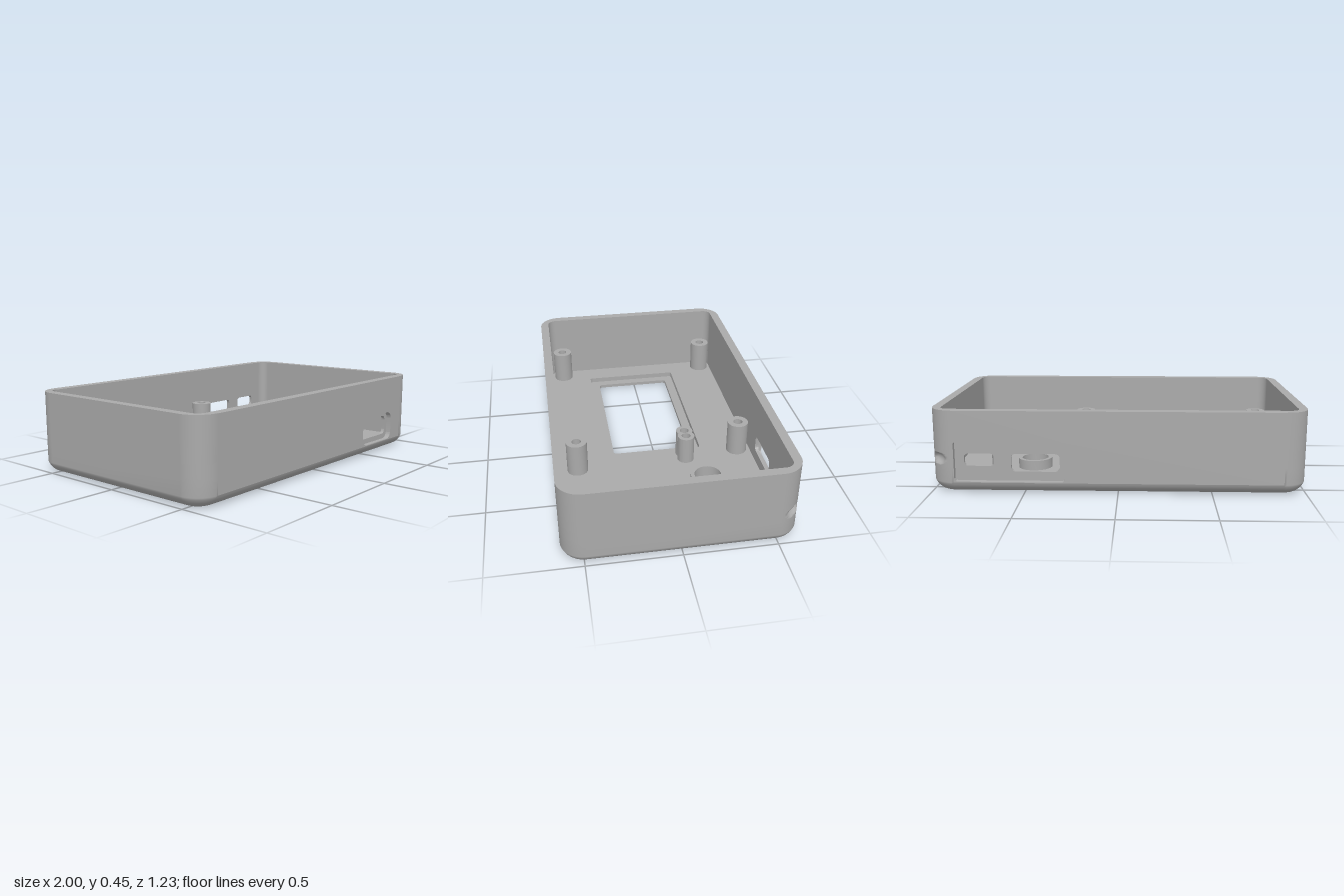
import * as THREE from 'three';
import { toCreasedNormals } from 'three/addons/utils/BufferGeometryUtils.js';

const HX = 1, HZ = 0.615, H = 0.45, R = 0.125;   // outer half sizes, height, corner radius
const IX = 0.95, IZ = 0.565, IR = 0.05;          // inner cavity
const FILLET = 0.085, FLAT = 0.06, FLOOR = 0.05; // bottom rounding, start of flat wall, floor top
const N = 17;                                    // points per rounded corner

// Rounded rectangle traced on a shape or a hole path
function roundRect(p, x0, y0, x1, y1, r) {
  p.absarc(x1 - r, y1 - r, r, 0, Math.PI / 2);
  p.absarc(x0 + r, y1 - r, r, Math.PI / 2, Math.PI);
  p.absarc(x0 + r, y0 + r, r, Math.PI, Math.PI * 1.5);
  p.absarc(x1 - r, y0 + r, r, Math.PI * 1.5, Math.PI * 2);
  p.closePath();
  return p;
}
const rectShape = (...a) => roundRect(new THREE.Shape(), ...a);
const rectHole = (...a) => roundRect(new THREE.Path(), ...a);
const circleHole = (x, y, r) => new THREE.Path().absarc(x, y, r, 0, Math.PI * 2);

// Upright slab in the XY plane
function slab(shape, holes, depth) {
  shape.holes.push(...holes);
  const g = new THREE.ExtrudeGeometry(shape, { depth, bevelEnabled: false, curveSegments: 16 });
  return toCreasedNormals(g, 0.6);
}
// Flat slab in the XZ plane, from y0 to y1
const flatSlab = (shape, holes, y0, y1) =>
  slab(shape, holes, y1 - y0).rotateX(Math.PI / 2).translate(0, y1, 0);

// Closed wall band through rounded-rectangle rings; the long straight walls
// are left out above y = openFrom so that panels with cut-outs can fill them
function wallBand(rows, hx, hz, r, openFrom, inward, dent) {
  const pos = [], idx = [], count = 4 * N;
  const sx = [1, -1, -1, 1], sz = [1, 1, -1, -1];
  for (const [y, inset] of rows)
    for (let k = 0; k < 4; k++)
      for (let i = 0; i < N; i++) {
        const a = (k + i / (N - 1)) * Math.PI / 2;
        const rad = r - inset - (dent && k === 3 ? dent(a - Math.PI * 1.75, y) : 0);
        pos.push(sx[k] * (hx - r) + Math.cos(a) * rad, y, sz[k] * (hz - r) + Math.sin(a) * rad);
      }
  for (let j = 0; j < rows.length - 1; j++)
    for (let i = 0; i < count; i++) {
      if ((i === N - 1 || i === 3 * N - 1) && rows[j][0] >= openFrom - 1e-6) continue;
      const a = j * count + i, b = j * count + (i + 1) % count, c = a + count, d = b + count;
      if (inward) idx.push(a, b, c, b, d, c);
      else idx.push(a, c, b, b, c, d);
    }
  const g = new THREE.BufferGeometry();
  g.setAttribute('position', new THREE.Float32BufferAttribute(pos, 3));
  g.setIndex(idx);
  g.computeVertexNormals();
  return g;
}

// Hollow round post standing on the floor
function postGeometry(r, hole, top, bottom) {
  const pts = [[r, FLOOR - 0.005], [r, top], [hole, top], [hole, bottom]];
  if (bottom > FLOOR) pts.push([0.0001, bottom]);
  return toCreasedNormals(new THREE.LatheGeometry(pts.map(p => new THREE.Vector2(...p)), 32), 0.6);
}

export function createModel() {
  const group = new THREE.Group();
  const grey = new THREE.MeshStandardMaterial({ color: 0xaaaaaa });
  grey.name = 'grey plastic';
  const add = (name, geometry, x = 0, y = 0, z = 0) => {
    const m = new THREE.Mesh(geometry, grey);
    m.name = name;
    m.position.set(x, y, z);
    group.add(m);
    return m;
  };

  // Outer shell: rounded bottom edge, sides and corners, with a cord notch in one corner
  const filletInset = y => FILLET - Math.sqrt(FILLET ** 2 - (FILLET - y) ** 2) ;
  const base = filletInset(FLAT);
  const rows = [];
  const tEnd = Math.acos(1 - FLAT / FILLET);
  for (let i = 0; i <= 9; i++) {
    const y = i === 9 ? FLAT : FILLET * (1 - Math.cos(tEnd * i / 9));
    rows.push([y, filletInset(y) - base]);
  }
  for (let i = 0; i <= 14; i++) rows.push([0.15 + i * 0.005, 0]);
  rows.push([H, 0]);
  const dent = (a, y) => {
    const e = (a / 0.42) ** 2 + ((y - 0.185) / 0.031) ** 2;
    return e < 1 ? 0.03 * Math.sqrt(1 - e) : 0;
  };
  add('outerShell', wallBand(rows, HX, HZ, R, FLAT, false, dent));

  // Inner side walls and corners
  add('innerWalls', wallBand([[FLOOR, 0], [H, 0]], IX, IZ, IR, 0, true));

  // Top rim
  const rim = rectShape(-HX, -HZ, HX, HZ, R);
  rim.holes.push(rectHole(-IX, -IZ, IX, IZ, IR));
  add('rim', new THREE.ShapeGeometry(rim, 16).rotateX(-Math.PI / 2), 0, H, 0);

  // Front and back walls: an outer layer with the recess, an inner layer with the ports
  const wallShape = (hw, y0) => new THREE.Shape([[-hw, y0], [hw, y0], [hw, H - 0.001], [-hw, H - 0.001]]
    .map(p => new THREE.Vector2(...p)));
  const mid = HZ - 0.03;
  const frontRecess = [rectHole(0.43, 0.065, 0.765, 0.235, 0.045)];
  const frontPort = [rectHole(0.46, 0.095, 0.74, 0.21, 0.03)];
  const backRecess = [rectHole(0.28, 0.065, 0.87, 0.285, 0.02)];
  const backPorts = [
    rectHole(0.31, 0.115, 0.57, 0.212, 0.025),
    rectHole(0.66, 0.145, 0.82, 0.212, 0.02),
  ];
  add('frontOuterWall', slab(wallShape(HX - R, FLAT), frontRecess, HZ - mid), 0, 0, mid);
  add('frontInnerWall', slab(wallShape(IX - IR, 0.04), frontPort, mid - IZ), 0, 0, IZ);
  add('backOuterWall', slab(wallShape(HX - R, FLAT), backRecess, HZ - mid), 0, 0, -HZ);
  add('backInnerWall', slab(wallShape(IX - IR, 0.04), backPorts, mid - IZ), 0, 0, -mid);

  // Floor: lower layer with display window and button hole, upper layer with display pocket
  const b = rows[0][1];
  add('floorBottom', flatSlab(rectShape(-HX + b, -HZ + b, HX - b, HZ - b, R - b), [
    rectHole(-0.765, -0.22, 0.087, 0.245, 0.02), circleHole(0.49, -0.24, 0.057),
  ], 0, 0.02));
  add('floorTop', flatSlab(rectShape(-IX, -IZ, IX, IZ, IR), [
    rectHole(-0.817, -0.273, 0.14, 0.303, 0.015), circleHole(0.49, -0.24, 0.075),
  ], 0.02, FLOOR));

  // Screw posts
  const post = postGeometry(0.06, 0.027, 0.245, 0.08);
  [[-0.875, -0.49], [0.195, -0.485], [-0.875, 0.485], [0.252, 0.475]]
    .forEach(([x, z]) => add('screwPost', post, x, 0, z));

  // Button collar and small guide post
  add('buttonCollar', postGeometry(0.096, 0.075, 0.105, FLOOR - 0.01), 0.49, 0, -0.24);
  add('guidePost', postGeometry(0.049, 0.033, 0.19, 0.08), 0.694, 0, -0.24);

  // Twin post: two merged cylinders with two holes
  const r = 0.048, d = 0.028, al = Math.acos(d / r);
  const twin = new THREE.Shape();
  twin.absarc(-d, 0, r, al, Math.PI * 2 - al);
  twin.absarc(d, 0, r, Math.PI + al, Math.PI * 3 - al);
  add('twinPost', flatSlab(twin, [circleHole(-d, 0, 0.026), circleHole(d, 0, 0.026)],
    FLOOR - 0.005, 0.21), 0.214, 0, -0.164);

  return group;
}
